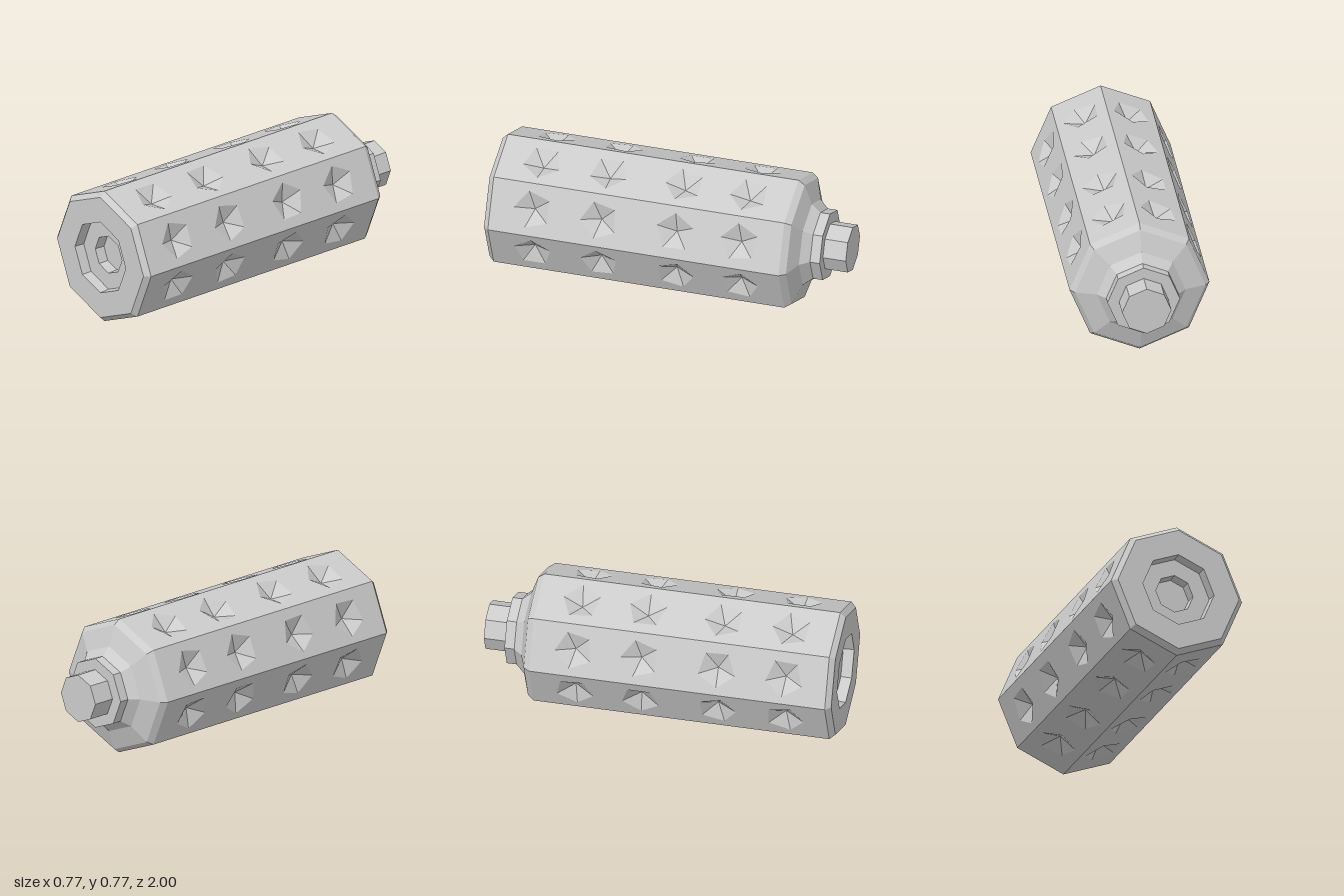
import * as THREE from 'three';

const R = 0.386, SIDES = 8, FRONT = 0.97, BACK = -0.69;
const DENT_Z = [0.73, 0.35, -0.08, -0.45];
const DENT_R = 0.108, DENT_DEPTH = 0.055;

const material = new THREE.MeshStandardMaterial({ color: 0xcccccc, flatShading: true });

function addMesh(parent, name, geometry) {
  const mesh = new THREE.Mesh(geometry, material);
  mesh.name = name;
  parent.add(mesh);
  return mesh;
}

// Octagonal solid along z from [radius, z] pairs, listed from back to front
function turned(profile) {
  const points = profile.map(([r, z]) => new THREE.Vector2(r, z));
  return new THREE.LatheGeometry(points, SIDES).rotateX(Math.PI / 2);
}

// Five-cornered outline of one dent on a side panel
function dentRing(z, turn) {
  return Array.from({ length: 5 }, (_, i) => {
    const a = turn + (i * Math.PI * 2) / 5;
    return new THREE.Vector2(DENT_R * Math.cos(a), z + DENT_R * Math.sin(a));
  });
}

// One flat side of the body with a row of pyramid-shaped dents
function sidePanel(k) {
  const panel = new THREE.Group();
  panel.name = 'sidePanel' + (k + 1);
  const half = R * Math.sin(Math.PI / SIDES);
  const shape = new THREE.Shape([
    new THREE.Vector2(-half, BACK), new THREE.Vector2(half, BACK),
    new THREE.Vector2(half, FRONT), new THREE.Vector2(-half, FRONT),
  ]);
  const corners = [];
  DENT_Z.forEach((z, j) => {
    const turn = ((k + 1) % SIDES) * 0.3 + [0, 0.1, -0.25, -0.15][j];
    const ring = dentRing(z, turn);
    shape.holes.push(new THREE.Path(ring));
    ring.forEach((p, i) => {
      const q = ring[(i + 1) % 5];
      corners.push(p.x, p.y, 0, q.x, q.y, 0, 0, z, -DENT_DEPTH);
    });
  });
  const dents = new THREE.BufferGeometry();
  dents.setAttribute('position', new THREE.Float32BufferAttribute(corners, 3));
  dents.computeVertexNormals();
  addMesh(panel, 'panelFace', new THREE.ShapeGeometry(shape));
  addMesh(panel, 'dents', dents);

  // Stand the panel on its side of the octagon
  const a = ((k + 0.5) * Math.PI * 2) / SIDES;
  const out = new THREE.Vector3(Math.cos(a), Math.sin(a), 0);
  const across = new THREE.Vector3(-Math.sin(a), Math.cos(a), 0);
  panel.quaternion.setFromRotationMatrix(
    new THREE.Matrix4().makeBasis(across, new THREE.Vector3(0, 0, 1), out));
  panel.position.copy(out).multiplyScalar(R * Math.cos(Math.PI / SIDES));
  return panel;
}

export function createModel() {
  const model = new THREE.Group();
  model.name = 'dentedCanister';
  const body = new THREE.Group();
  body.name = 'body';
  body.position.y = R + 0.002;
  model.add(body);

  for (let k = 0; k < SIDES; k++) body.add(sidePanel(k));

  // Bevelled front with a two-step recess
  addMesh(body, 'frontCap', turned([
    [R, FRONT], [0.357, 1], [0.21, 1], [0.205, 0.94],
    [0.11, 0.94], [0.106, 0.88], [0, 0.88],
  ]));

  // Sloping shoulder, collar and pin at the back
  addMesh(body, 'pin', turned([[0, -1], [0.136, -1], [0.136, -0.87]]));
  addMesh(body, 'collar', turned([[0.136, -0.87], [0.2, -0.87], [0.2, -0.815]]));
  addMesh(body, 'shoulder', turned([
    [0.2, -0.815], [0.245, -0.765], [0.36, -0.725], [R, BACK],
  ]));
  return model;
}
